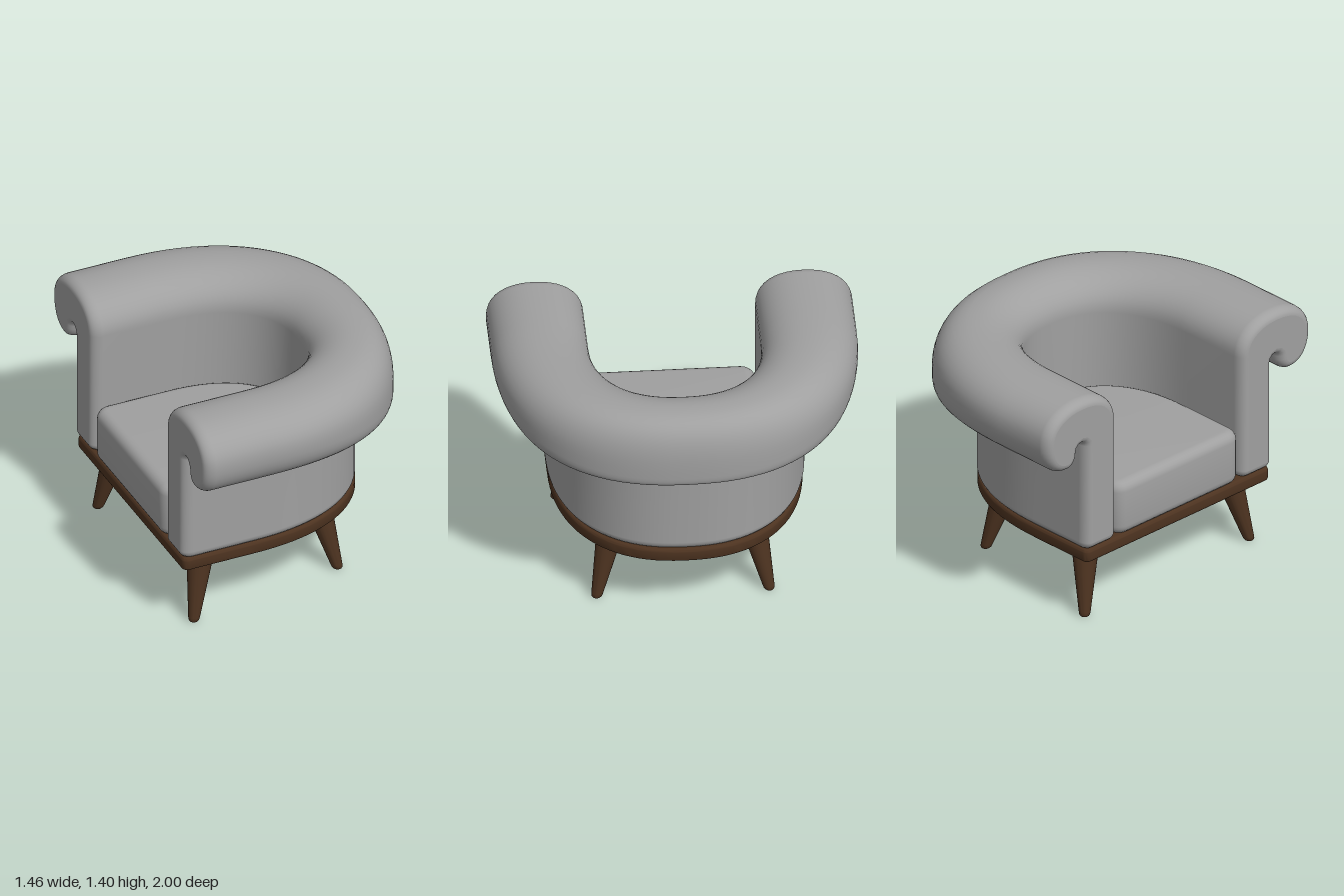
import * as THREE from 'three';
import { toCreasedNormals } from 'three/addons/utils/BufferGeometryUtils.js';

const FRONT = -0.73; // the open side of the seat faces -x
const BEND = 2.3; // squareness of the U in plan
const P = Math.PI;

const pow = (v, n) => Math.sign(v) * Math.abs(v) ** (2 / n);

// Superellipse arc as [x, y] points
function arc(cx, cy, rx, ry, a0, a1, steps, n = 2, skipLast = false) {
  const pts = [];
  for (let i = 0; i <= steps - (skipLast ? 1 : 0); i++) {
    const a = a0 + ((a1 - a0) * i) / steps;
    pts.push([cx + rx * pow(Math.cos(a), n), cy + ry * pow(Math.sin(a), n)]);
  }
  return pts;
}

// Cross-section of the wall with its outward roll; the lip hangs lower and squarer at the back
function scrollProfile(back, inset) {
  const b2 = back * back;
  const widest = 1.205 - 0.09 * b2, crown = 0.735 - 0.05 * b2;
  const pts = [
    ...arc(0.52, 0.503, 0.05, 0.05, 1.5 * P, P, 5),
    ...arc(crown, 1.205, crown - 0.47, 0.2, P, P / 2, 10, 2.2, true),
    ...arc(crown, widest, 1 - crown, 1.405 - widest, P / 2, 0, 10, 2.2, true),
    ...arc(0.84, widest, 0.16, widest - 1.009, 0, -P / 2, 10, 2.2 + 3 * b2, true),
    ...arc(0.84, 1.105, 0.08, 0.096, -P / 2, -P, 6, 2, true),
    ...arc(0.7325, 1.105, 0.0275, 0.0275, 0, P, 6),
    ...arc(0.655, 0.503, 0.05, 0.05, 0, -P / 2, 5),
  ];
  const n = pts.length;
  return pts.map(([u, v], i) => {
    const a = pts[(i + n - 1) % n], b = pts[(i + 1) % n];
    const du = b[0] - a[0], dv = b[1] - a[1], len = Math.hypot(du, dv) || 1;
    return [u + (dv / len) * inset, v - (du / len) * inset];
  });
}

// Start and far end of the bend at a given half width
function bend(halfWidth) {
  const d = (halfWidth - 0.47) / 0.53;
  return { x0: -0.3 - 0.05 * d, xe: 0.29 + 0.683 * d - 0.243 * d * d };
}

// Sweep of the scroll profile around the U, with rounded ends
function scrollGeometry() {
  const ends = [], turns = [], round = 0.065, shrink = 0.047;
  for (let i = 0; i <= 7; i++) {
    const a = (i / 7) * (P / 2);
    ends.push({ side: 1, x: FRONT + round * (1 - Math.cos(a)), inset: shrink * (1 - Math.sin(a)) });
  }
  for (let i = 0; i <= 48; i++) turns.push({ angle: P / 2 - (P * i) / 48, inset: 0 });
  const stations = [...ends, ...turns, ...ends.map((s) => ({ ...s, side: -1 })).reverse()];

  const rings = stations.map((s) => {
    const turning = s.angle !== undefined;
    const c = turning ? Math.cos(s.angle) : 0;
    return scrollProfile(c, s.inset).map(([w, y]) => {
      if (!turning) return [s.x, y, s.side * w];
      const { x0, xe } = bend(w);
      return [x0 + (xe - x0) * pow(c, BEND), y, w * pow(Math.sin(s.angle), BEND)];
    });
  });
  const n = rings[0].length;
  const pos = rings.flat(2), index = [];
  for (let s = 0; s < rings.length - 1; s++) {
    for (let i = 0; i < n; i++) {
      const j = (i + 1) % n;
      const a = s * n + i, b = s * n + j, c = a + n, d = b + n;
      index.push(a, b, c, b, d, c);
    }
  }
  // Flat caps on both arm ends
  const flat = scrollProfile(0, shrink).reverse().map(([u, v]) => new THREE.Vector2(u, v));
  for (const side of [1, -1]) {
    const start = pos.length / 3;
    flat.forEach((p) => pos.push(FRONT, p.y, side * p.x));
    for (const [a, b, c] of THREE.ShapeUtils.triangulateShape(flat, [])) {
      if (side > 0) index.push(start + a, start + b, start + c);
      else index.push(start + a, start + c, start + b);
    }
  }
  const g = new THREE.BufferGeometry();
  g.setAttribute('position', new THREE.Float32BufferAttribute(pos, 3));
  g.setIndex(index);
  g.computeVertexNormals();
  return g;
}

// D-shaped slab with soft edges, straight side at the front
function slab({ halfWidth, x0, xe, front, corner, y0, y1, bevel }) {
  const cx = front + corner, cz = halfWidth - corner;
  const outline = [
    ...arc(x0, 0, xe - x0, halfWidth, -P / 2, P / 2, 48, BEND),
    ...arc(cx, cz, corner, corner, P / 2, P, 6),
    ...arc(cx, -cz, corner, corner, P, 1.5 * P, 6),
  ];
  const shape = new THREE.Shape(outline.map(([x, y]) => new THREE.Vector2(x, y)));
  const g = new THREE.ExtrudeGeometry(shape, {
    depth: y1 - y0 - 2 * bevel, bevelEnabled: true,
    bevelThickness: bevel, bevelSize: bevel, bevelOffset: -bevel, bevelSegments: 5,
  });
  g.rotateX(-P / 2);
  g.translate(0, y0 + bevel, 0);
  return toCreasedNormals(g, 0.7);
}

export function createModel() {
  const fabric = new THREE.MeshStandardMaterial({ color: 0xa0a0a0 });
  fabric.name = 'grey fabric';
  const wood = new THREE.MeshStandardMaterial({ color: 0x4d3320 });
  wood.name = 'dark wood';

  const model = new THREE.Group();
  model.name = 'armchair';
  const add = (name, geometry, material) => {
    const mesh = new THREE.Mesh(geometry, material);
    mesh.name = name;
    model.add(mesh);
  };

  add('backAndArms', scrollGeometry(), fabric);
  add('seatCushion', slab({
    halfWidth: 0.469, x0: -0.3, xe: 0.295, front: FRONT, corner: 0.08, y0: 0.453, y1: 0.775, bevel: 0.055,
  }), fabric);
  add('baseFrame', slab({
    halfWidth: 0.695, x0: -0.32, xe: 0.548, front: -0.72, corner: 0.035, y0: 0.377, y1: 0.458, bevel: 0.02,
  }), wood);

  // Splayed tapering legs
  const legProfile = [[0, 0], [0.024, 0], [0.03, 0.008], [0.033, 0.025], [0.079, 0.4], [0, 0.4]];
  const legs = [
    { name: 'frontLeg', foot: [-0.627, 0.622], top: [-0.55, 0.543] },
    { name: 'backLeg', foot: [0.305, 0.472], top: [0.224, 0.39] },
  ];
  for (const { name, foot, top } of legs) {
    for (const side of [1, -1]) {
      const g = new THREE.LatheGeometry(legProfile.map(([r, y]) => new THREE.Vector2(r, y)), 24);
      // Shear the upright leg so the foot stays level
      const p = g.attributes.position;
      for (let i = 0; i < p.count; i++) {
        const k = p.getY(i) / 0.38;
        p.setX(i, p.getX(i) + foot[0] + (top[0] - foot[0]) * k);
        p.setZ(i, p.getZ(i) + side * (foot[1] + (top[1] - foot[1]) * k));
      }
      add(name + (side > 0 ? 'A' : 'B'), toCreasedNormals(g, 0.7), wood);
    }
  }
  return model;
}
